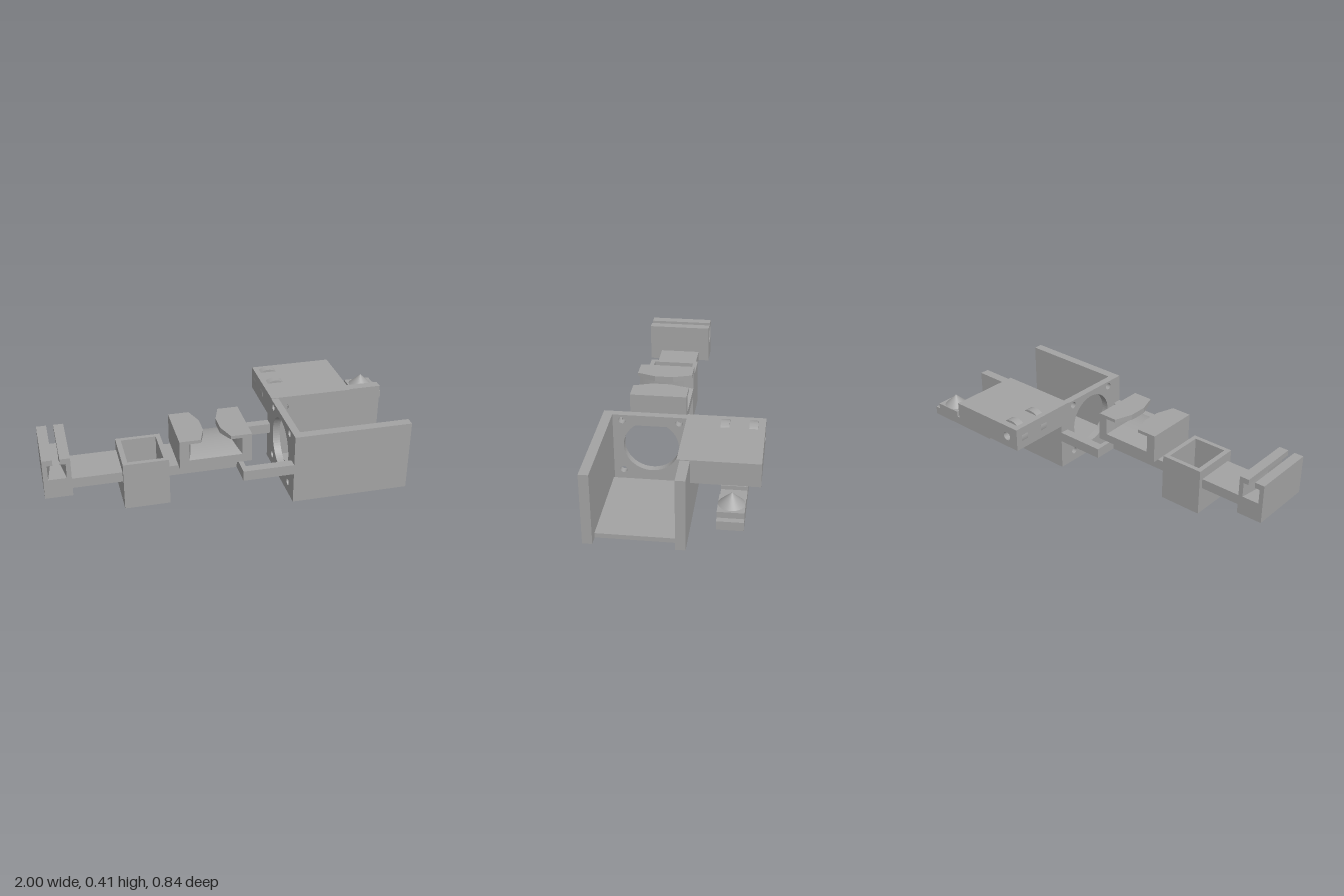
import * as THREE from 'three';

const grey = new THREE.MeshStandardMaterial({ color: 0xa3a3a3 });
grey.name = 'plain grey';

export function createModel() {
  const model = new THREE.Group();
  model.name = 'fanMountAssembly';

  const add = (name, geometry, parent = model) => {
    const mesh = new THREE.Mesh(geometry, grey);
    mesh.name = name;
    parent.add(mesh);
    return mesh;
  };
  // Box from its minimum and maximum on each axis
  const box = (name, x0, x1, y0, y1, z0, z1, parent) => {
    const m = add(name, new THREE.BoxGeometry(x1 - x0, y1 - y0, z1 - z0), parent);
    m.position.set((x0 + x1) / 2, (y0 + y1) / 2, (z0 + z1) / 2);
    return m;
  };
  const rectangle = (a0, a1, b0, b1) => new THREE.Shape([
    new THREE.Vector2(a0, b0), new THREE.Vector2(a1, b0),
    new THREE.Vector2(a1, b1), new THREE.Vector2(a0, b1)]);
  const hole = (shape, a, b, r) =>
    shape.holes.push(new THREE.Path().absarc(a, b, r, 0, Math.PI * 2, true));
  const extrude = (shape, depth) =>
    new THREE.ExtrudeGeometry(shape, { depth, bevelEnabled: false, curveSegments: 32 });

  // Solid made from counter-clockwise cross-sections along z
  const loft = (section, z0, z1, steps) => {
    const rings = [], pos = [];
    for (let i = 0; i <= steps; i++) {
      const t = i / steps, z = z0 + (z1 - z0) * t;
      rings.push(section(t).map(([x, y]) => [x, y, z]));
    }
    const n = rings[0].length;
    for (let i = 0; i < steps; i++) {
      for (let j = 0; j < n; j++) {
        const a = rings[i][j], b = rings[i][(j + 1) % n];
        const c = rings[i + 1][(j + 1) % n], d = rings[i + 1][j];
        pos.push(...a, ...b, ...c, ...a, ...c, ...d);
      }
    }
    const outline = rings[0].map(([x, y]) => new THREE.Vector2(x, y));
    for (const [a, b, c] of THREE.ShapeUtils.triangulateShape(outline, [])) {
      pos.push(...rings[0][a], ...rings[0][c], ...rings[0][b]);
      pos.push(...rings[steps][a], ...rings[steps][b], ...rings[steps][c]);
    }
    const g = new THREE.BufferGeometry();
    g.setAttribute('position', new THREE.Float32BufferAttribute(pos, 3));
    g.computeVertexNormals();
    return g;
  };
  // C-shaped channel: half widths of the body, cavity and top slot
  const channel = (cx, y0, y1, half, cavity, slot, floor, ceiling) => [
    [cx - half, y0], [cx + half, y0], [cx + half, y1], [cx + slot, y1],
    [cx + slot, ceiling], [cx + cavity, ceiling], [cx + cavity, floor],
    [cx - cavity, floor], [cx - cavity, ceiling], [cx - slot, ceiling],
    [cx - slot, y1], [cx - half, y1]];

  // Open tray
  const tray = new THREE.Group();
  tray.name = 'tray';
  model.add(tray);
  box('frontWall', 0.27, 0.905, 0, 0.387, 0.37, 0.42, tray);
  box('backWall', 0.27, 0.905, 0, 0.387, -0.08, -0.03, tray);
  box('trayFloor', 0.337, 0.85, 0, 0.025, -0.03, 0.37, tray);

  // Fan plate with its round opening and screw holes
  const plate = rectangle(-0.37, 0.03, 0, 0.387);
  hole(plate, -0.17, 0.21, 0.145);
  for (const a of [-0.32, -0.023]) for (const b of [0.062, 0.357]) hole(plate, a, b, 0.019);
  const fanPlate = add('fanPlate', extrude(plate, 0.04), tray);
  fanPlate.rotation.y = Math.PI / 2;
  fanPlate.position.x = 0.27;

  // Yoke between the tray and the bar
  for (const z of [-0.08, 0.37]) box('yokeArm', 0, 0.27, 0.17, 0.225, z, z + 0.05);
  box('yokeCrossbar', 0, 0.025, 0.17, 0.225, -0.03, 0.37);

  // Connecting bar, broken by the square sleeve
  box('barInner', -0.365, 0, 0.17, 0.225, 0.05, 0.28);
  box('barOuter', -0.86, -0.6, 0.17, 0.225, 0.05, 0.28);

  // Vertical sleeve
  const sleeve = rectangle(-0.6, -0.362, -0.305, -0.027);
  sleeve.holes.push(rectangle(-0.573, -0.387, -0.28, -0.052));
  const sleeveMesh = add('squareSleeve', extrude(sleeve, 0.26));
  sleeveMesh.rotation.x = -Math.PI / 2;
  sleeveMesh.position.y = 0.02;

  // Cradle with a flared throat
  add('cradle', loft((t) => {
    const hump = 1 - (2 * t - 1) ** 2;
    const pinch = Math.min(1, t * 3, (1 - t) * 3);
    return channel(-0.12, 0.225, 0.383, 0.19, 0.14 - 0.03 * hump,
      0.079 - 0.034 * pinch, 0.27 + 0.03 * hump, 0.365 - 0.015 * hump);
  }, 0.015, 0.32, 18));

  // End clip whose cavity narrows to the slot in the middle
  add('endClip', loft((t) => {
    const pinch = 1 - Math.abs(2 * t - 1);
    return channel(-0.93, 0.17, 0.385, 0.07, 0.046 - 0.026 * pinch, 0.018, 0.275, 0.355);
  }, -0.012, 0.348, 2));

  // Side block with a long bore and two rings round it
  const block = rectangle(0.27, 0.725, 0.265, 0.391);
  hole(block, 0.345, 0.328, 0.024);
  add('sideBlock', extrude(block, 0.404)).position.z = -0.42;
  for (const z of [-0.217, -0.361]) {
    const ring = new THREE.Shape().absarc(0.345, 0.328, 0.077, 0, Math.PI * 2);
    hole(ring, 0.345, 0.328, 0.055);
    add('tieRing', extrude(ring, 0.044)).position.z = z - 0.022;
  }

  // Tongue below the block, with a raised pad and cone
  box('tongue', 0.55, 1, 0.2, 0.245, -0.357, -0.23);
  box('tongueRoot', 0.55, 0.73, 0.245, 0.266, -0.357, -0.23);
  box('conePad', 0.82, 0.97, 0.245, 0.276, -0.357, -0.23);
  add('cone', new THREE.ConeGeometry(0.064, 0.06, 40)).position.set(0.893, 0.306, -0.293);

  return model;
}
